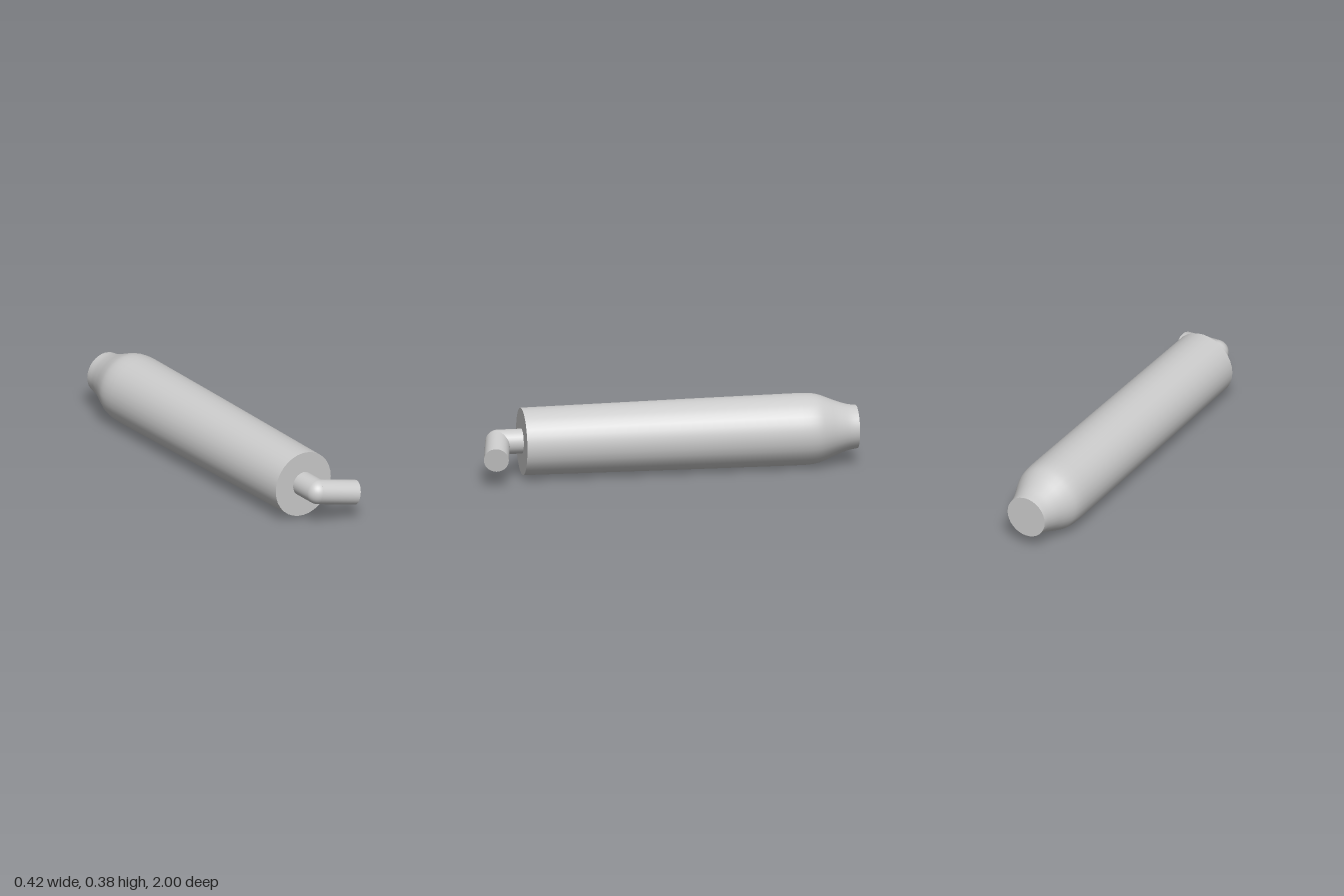
import * as THREE from 'three';

const SIDES = 32;
const material = new THREE.MeshStandardMaterial({ color: 0xcccccc });

function part(name, geometry) {
  const mesh = new THREE.Mesh(geometry, material);
  mesh.name = name;
  return mesh;
}

// Capped round bar between two points
function bar(name, from, to, radius) {
  const dir = to.clone().sub(from);
  const mesh = part(name, new THREE.CylinderGeometry(radius, radius, dir.length(), SIDES));
  mesh.position.copy(from).add(to).multiplyScalar(0.5);
  mesh.quaternion.setFromUnitVectors(new THREE.Vector3(0, 1, 0), dir.normalize());
  return mesh;
}

export function createModel() {
  const model = new THREE.Group();
  model.name = 'silencer';
  const cx = -0.02, cy = 0.188;
  const backZ = -1, frontZ = 0.765, backR = 0.113, frontR = 0.176;

  // Body: S-shaped neck at the back, then a long slight taper to the front
  const neck = new THREE.SplineCurve([
    [backR, backZ], [0.121, -0.95], [0.141, -0.89], [0.164, -0.835],
    [0.18, -0.79], [0.1865, -0.745], [0.188, -0.69],
  ].map(([r, z]) => new THREE.Vector2(r, z))).getPoints(24);
  const profile = [...neck, new THREE.Vector2(0.184, -0.1), new THREE.Vector2(frontR, frontZ)];
  const body = new THREE.Group();
  body.name = 'body';
  body.position.set(cx, cy, 0);
  body.add(part('shell', new THREE.LatheGeometry(profile, SIDES).rotateX(Math.PI / 2)));

  // Flat end plates, with corners matching the shell
  const frontCap = part('frontPlate', new THREE.CircleGeometry(frontR, SIDES));
  frontCap.position.z = frontZ;
  const backCap = part('backPlate', new THREE.CircleGeometry(backR, SIDES).rotateY(Math.PI));
  backCap.position.z = backZ;
  body.add(frontCap, backCap);
  model.add(body);

  // Bent inlet pipe: straight stub, round elbow, angled arm
  const pipeR = 0.065;
  const root = new THREE.Vector3(cx, 0.19, frontZ - 0.01);
  const bend = new THREE.Vector3(cx, 0.19, 0.892);
  const tip = new THREE.Vector3(0.19, 0.148, 0.935);
  const elbow = part('pipeElbow', new THREE.SphereGeometry(pipeR, SIDES, 20));
  elbow.position.copy(bend);
  model.add(bar('pipeStub', root, bend, pipeR), elbow, bar('pipeArm', bend, tip, pipeR));

  return model;
}
